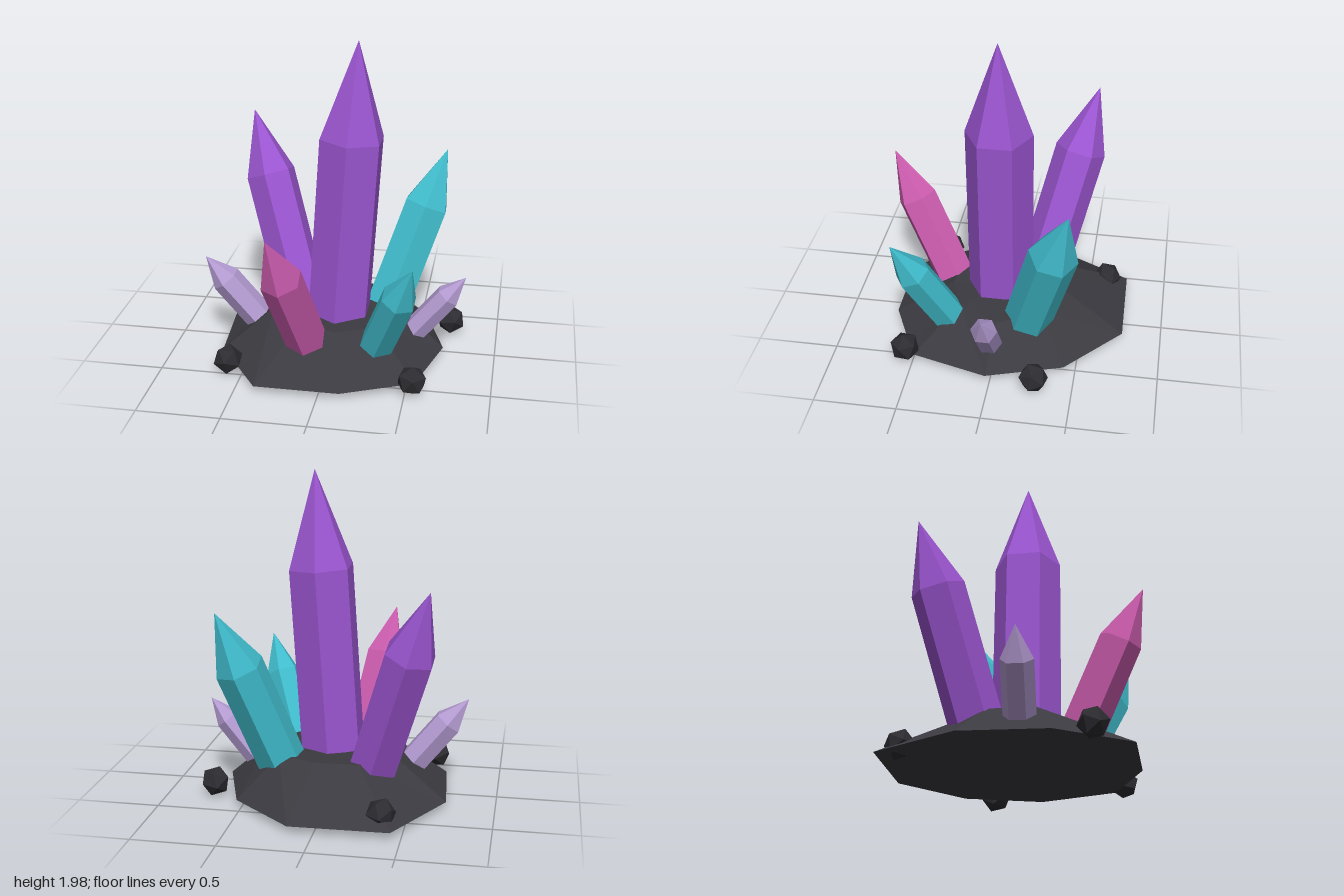
import * as THREE from 'three';

const mat = (name, color) => {
  const m = new THREE.MeshStandardMaterial({ color, flatShading: true });
  m.name = name;
  return m;
};

// Six-sided prism with a pointed cap; shoulder is the height where the point starts
function crystal(name, material, tip, slopeX, slopeZ, shoulder, radius, footY) {
  const axis = new THREE.Vector3(slopeX, 1, slopeZ);
  const stretch = axis.length();
  const capLength = (tip[1] - shoulder) * stretch;
  const shaftLength = (shoulder - footY) * stretch;
  const group = new THREE.Group();
  group.name = name;

  const shaft = new THREE.Mesh(
    new THREE.CylinderGeometry(radius, radius, shaftLength, 6, 1, true), material);
  shaft.name = name + 'Shaft';
  shaft.position.y = -capLength - shaftLength / 2;

  const point = new THREE.Mesh(
    new THREE.ConeGeometry(radius, capLength, 6, 1, true), material);
  point.name = name + 'Point';
  point.position.y = -capLength / 2;

  group.add(shaft, point);
  group.position.set(...tip);
  group.quaternion.setFromUnitVectors(new THREE.Vector3(0, 1, 0), axis.normalize());
  return group;
}

// Nine-sided rock mound: flat underside, sloping sides, uneven top
function moundGeometry() {
  const outer = [[0.68, 0.03], [0.55, 0.5], [0.13, 0.69], [-0.38, 0.69], [-0.67, 0.27],
    [-0.71, -0.24], [-0.44, -0.75], [0.15, -0.76], [0.53, -0.43]];
  const topRadius = [0.44, 0.38, 0.34, 0.36, 0.4, 0.4, 0.4, 0.37, 0.4];
  const topY = [0.275, 0.28, 0.27, 0.28, 0.3, 0.3, 0.3, 0.305, 0.3];
  const n = outer.length;
  const low = outer.map(([x, z]) => [x, 0.06, z]);
  const high = topRadius.map((r, i) => {
    const a = (i / n) * Math.PI * 2;
    return [r * Math.cos(a), topY[i], r * Math.sin(a)];
  });
  const positions = [];
  const tri = (...corners) => corners.forEach((c) => positions.push(...c));
  for (let i = 0; i < n; i++) {
    const j = (i + 1) % n;
    tri(low[i], high[i], high[j]);
    tri(low[i], high[j], low[j]);
    tri([0, 0.285, 0], high[j], high[i]);
    tri([0, 0.06, 0], low[i], low[j]);
  }
  const g = new THREE.BufferGeometry();
  g.setAttribute('position', new THREE.Float32BufferAttribute(positions, 3));
  g.computeVertexNormals();
  return g;
}

export function createModel() {
  const model = new THREE.Group();
  model.name = 'crystalCluster';

  const violet = mat('violet crystal', 0x9b55d0);
  const teal = mat('teal crystal', 0x40bccc);
  const pink = mat('pink crystal', 0xcc5cae);
  const lilac = mat('pale lilac crystal', 0xb49bd2);
  const rock = mat('dark rock', 0x3a3a40);
  const pebbleRock = mat('darker pebble', 0x2c2c31);

  const mound = new THREE.Mesh(moundGeometry(), rock);
  mound.name = 'rockBase';
  model.add(mound);

  // Crystals: tip position, lean per unit of height, shoulder height, radius, buried foot
  model.add(
    crystal('centreCrystal', violet, [0.135, 2, 0.03], 0.065, 0, 1.41, 0.205, 0.15),
    crystal('backRightCrystal', violet, [-0.62, 1.39, -0.5], -0.31, -0.255, 1.0, 0.16, 0.15),
    crystal('backLeftCrystal', teal, [0.635, 1.21, -0.445], 0.34, -0.27, 0.865, 0.15, 0.15),
    crystal('frontRightCrystal', pink, [-0.275, 1.02, 0.76], -0.19, 0.49, 0.725, 0.127, 0.13),
    crystal('frontLeftCrystal', teal, [0.535, 0.84, 0.61], 0.37, 0.46, 0.605, 0.11, 0.13),
    crystal('leftSmallCrystal', lilac, [0.805, 0.55, 0.027], 0.81, 0, 0.42, 0.08, 0.12),
    crystal('rightSmallCrystal', lilac, [-0.81, 0.605, 0.1], -0.82, 0.07, 0.455, 0.094, 0.12),
  );

  // Loose pebbles around the rim
  const pebble = new THREE.IcosahedronGeometry(0.092, 0);
  [[-0.585, 0.11, 0.48], [0.54, 0.11, 0.55], [0.705, 0.11, -0.27], [-0.37, 0.12, -0.62]]
    .forEach(([x, y, z], i) => {
      const stone = new THREE.Mesh(pebble, pebbleRock);
      stone.name = 'pebble' + (i + 1);
      stone.position.set(x, y, z);
      stone.rotation.set(0.4 + i, 0.9 * i, 0.3 * i);
      model.add(stone);
    });

  return model;
}
